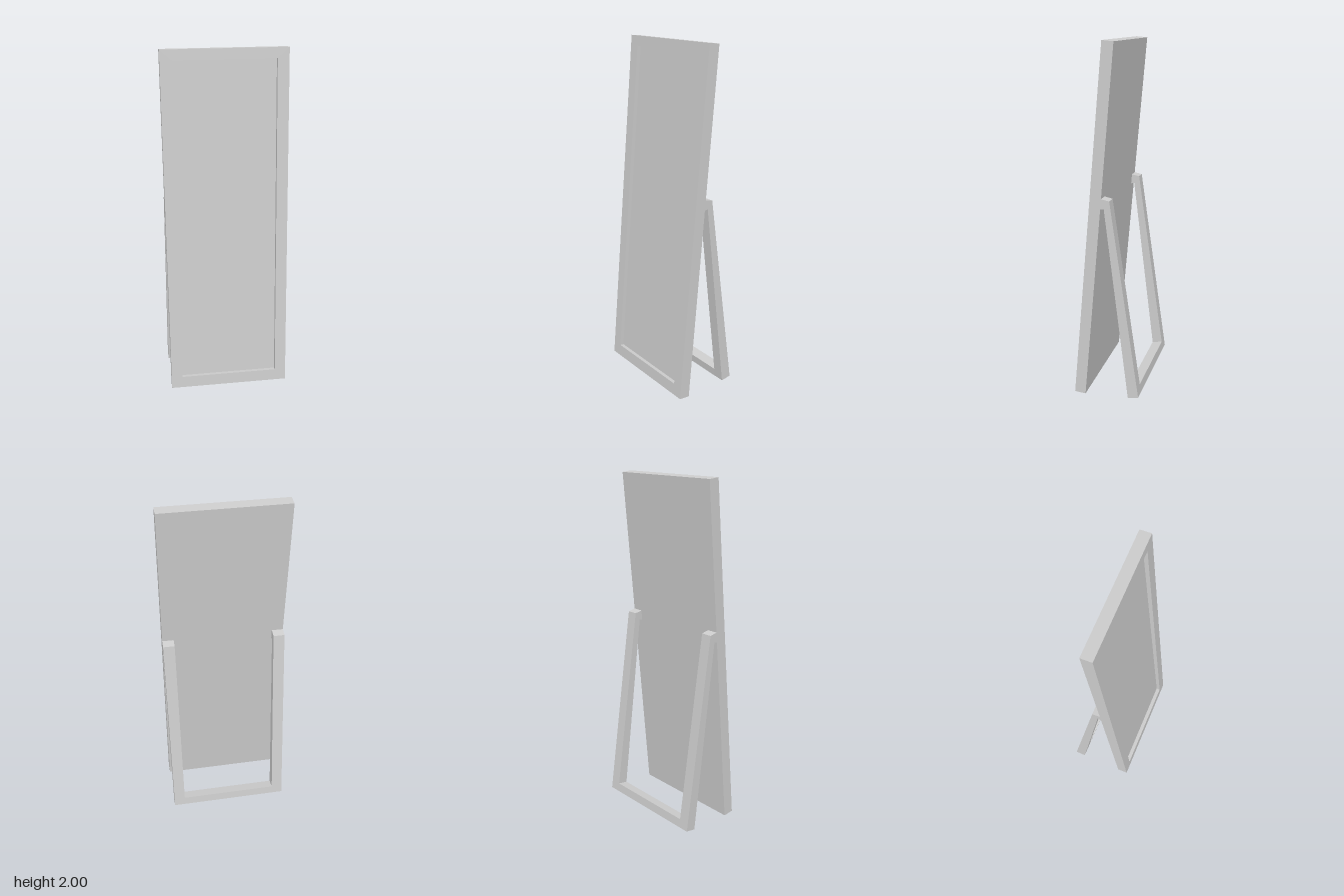
import * as THREE from 'three';

const material = new THREE.MeshStandardMaterial({ color: 0xcccccc, flatShading: true });
const HALF_W = 0.35, INNER_W = 0.285;

function part(name, geometry, parent) {
  const mesh = new THREE.Mesh(geometry, material);
  mesh.name = name;
  parent.add(mesh);
  return mesh;
}

const polygon = (points) => points.map(([x, y]) => new THREE.Vector2(x, y));

// Extrudes a side profile given as [z, y] points from x0 to x1
function extrudeAcross(profile, x0, x1) {
  const shape = new THREE.Shape(polygon(profile.map(([z, y]) => [-z, y])));
  const geometry = new THREE.ExtrudeGeometry(shape, { depth: x1 - x0, bevelEnabled: false });
  return geometry.rotateY(Math.PI / 2).translate(x0, 0, 0);
}

export function createModel() {
  const model = new THREE.Group();
  model.name = 'standingMirror';

  // Leaning mirror, built upright from its lower back edge
  const mirror = new THREE.Group();
  mirror.name = 'mirror';
  mirror.position.z = 0.125;
  mirror.rotation.x = -0.0886;
  model.add(mirror);
  const length = 2.002, backDepth = 0.041, frameDepth = 0.023;

  // Backing whose front is the mirror surface
  part('mirrorPanel', new THREE.BoxGeometry(HALF_W * 2, length, backDepth), mirror)
    .position.set(0, length / 2, backDepth / 2);

  // Raised border around the mirror surface
  const border = new THREE.Shape(polygon([[-HALF_W, 0], [HALF_W, 0], [HALF_W, length], [-HALF_W, length]]));
  border.holes.push(new THREE.Path(polygon(
    [[-INNER_W, 0.069], [-INNER_W, 1.945], [INNER_W, 1.945], [INNER_W, 0.069]])));
  part('mirrorFrame', new THREE.ExtrudeGeometry(border, { depth: frameDepth, bevelEnabled: false }), mirror)
    .position.z = backDepth;

  // Rear stand: two tapered legs with a hinge tab meeting the mirror back
  const stand = new THREE.Group();
  stand.name = 'stand';
  model.add(stand);
  const legProfile = [[0.022, 1.176], [-0.025, 1.166], [-0.191, 0.022],
    [-0.13, 0.012], [0.006, 1.122], [0.027, 1.118]];
  part('leftLeg', extrudeAcross(legProfile, INNER_W, HALF_W), stand);
  part('rightLeg', extrudeAcross(legProfile, -HALF_W, -INNER_W), stand);

  // Bottom rail joining the legs
  const railProfile = [[-0.184, 0.072], [-0.191, 0.022], [-0.13, 0.012], [-0.124, 0.062]];
  part('bottomRail', extrudeAcross(railProfile, -INNER_W, INNER_W), stand);

  return model;
}
